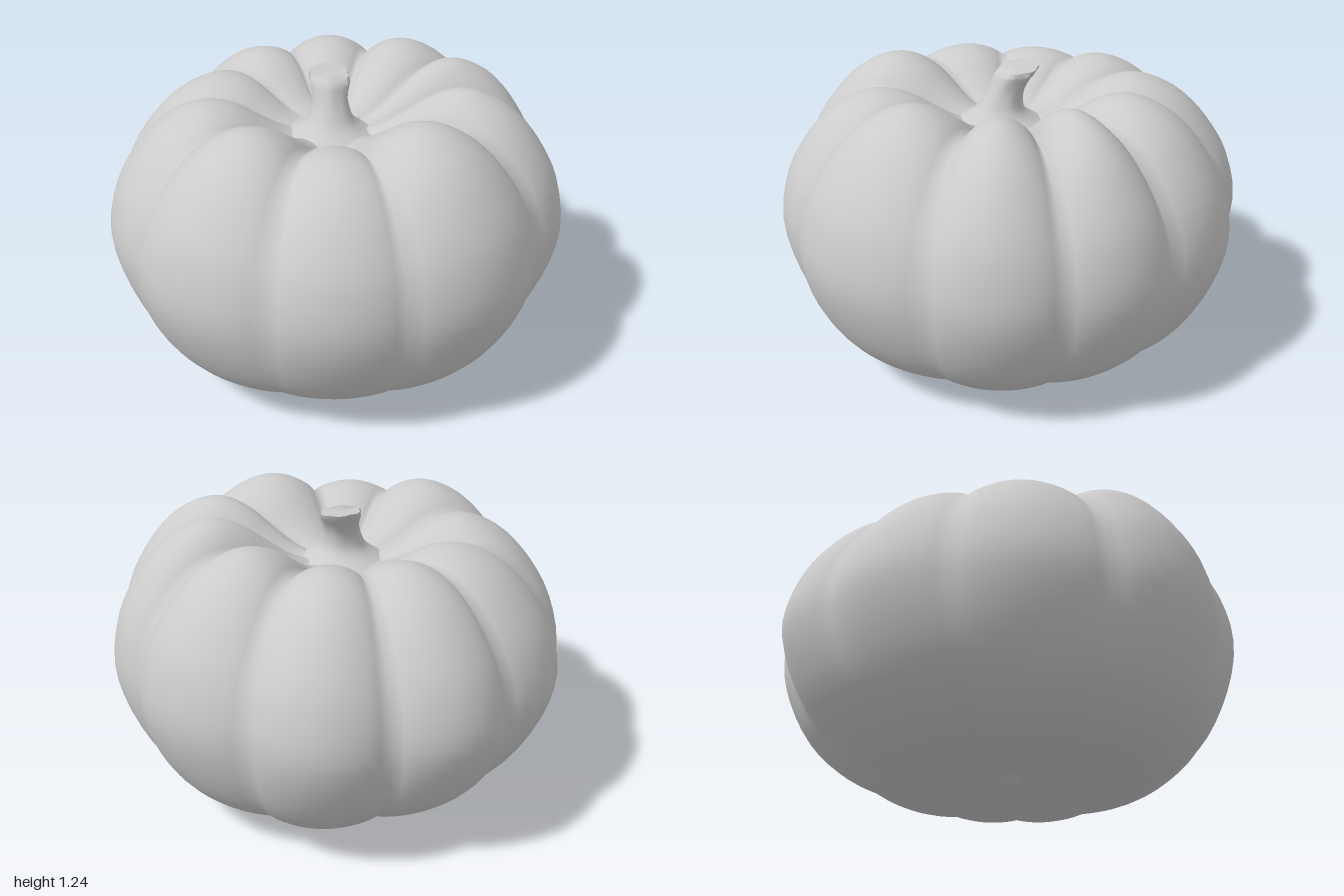
import * as THREE from 'three';
import { mergeVertices, toCreasedNormals } from 'three/addons/utils/BufferGeometryUtils.js';

const material = new THREE.MeshStandardMaterial({ color: 0xcccccc });

// Groove angles in degrees, going round the body, and the reach and crown height of each lobe between them
const grooves = [281, 243, 209.5, 177, 142.6, 105, 62.6, 30, -16.5, -49, -79];
const reach = [1.0, 1.03, 1.02, 0.98, 0.97, 0.995, 0.98, 1.0, 1.005, 0.99];
const crown = [1.21, 1.18, 1.17, 1.15, 1.17, 1.21, 1.16, 1.22, 1.225, 1.23];

// Matching half profiles (radius, height) along a rib's ridge and along a groove, which fades out below
const ridge = [[0, 0.07], [0.08, 0.06], [0.2, 0.025], [0.35, 0.003], [0.5, 0.014], [0.64, 0.06], [0.76, 0.135],
  [0.87, 0.25], [0.96, 0.43], [1, 0.62], [0.963, 0.82], [0.885, 0.97], [0.78, 1.095], [0.665, 1.17], [0.55, 1.2],
  [0.43, 1.17], [0.32, 1.1], [0.22, 1.035], [0.12, 1.0], [0, 0.99]];
const valley = [[0, 0.07], [0.08, 0.06], [0.2, 0.028], [0.35, 0.013], [0.49, 0.027], [0.625, 0.073], [0.745, 0.15],
  [0.85, 0.262], [0.92, 0.43], [0.94, 0.62], [0.9, 0.8], [0.815, 0.94], [0.715, 1.04], [0.61, 1.095],
  [0.5, 1.105], [0.4, 1.08], [0.31, 1.04], [0.22, 1.01], [0.12, 0.995], [0, 0.99]];

const smooth = (points, n) =>
  new THREE.SplineCurve(points.map(([r, y]) => new THREE.Vector2(r, y))).getPoints(n);

function weld(geometry) {
  geometry.deleteAttribute('uv');
  geometry.deleteAttribute('normal');
  const welded = mergeVertices(geometry, 1e-4);
  welded.computeVertexNormals();
  return welded;
}

// Ribbed body: a lathe whose rings blend between ridge and groove profiles
function makeBody() {
  const steps = 57, perLobe = 12, lobes = reach.length;
  const high = smooth(ridge, steps), low = smooth(valley, steps);
  const geometry = new THREE.LatheGeometry(high, lobes * perLobe);
  const pos = geometry.attributes.position;
  for (let i = 0; i <= lobes * perLobe; i++) {
    const lobe = Math.floor(i / perLobe) % lobes;
    const t = (i % perLobe) / perLobe;
    const angle = THREE.MathUtils.degToRad(THREE.MathUtils.lerp(grooves[lobe], grooves[lobe + 1], t));
    const bulge = Math.pow(Math.sin(Math.PI * t), 0.75);
    const side = Math.max(0, -Math.cos(angle));
    for (let j = 0; j <= steps; j++) {
      const point = low[j].clone().lerp(high[j], bulge);
      const upper = Math.max(0, (point.y - 0.64) / 0.56);
      const lower = Math.max(0, 1 - point.y / 0.64);
      // The -x side has a slimmer shoulder, a lower crown and a slightly raised underside
      const slim = 1 - 0.04 * upper * side;
      const r = Math.max(0, point.x) * (1 + (reach[lobe] - 1) * bulge) * slim;
      const lift = (crown[lobe] - 1.2) * bulge * upper * Math.min(1, r / 0.5);
      const tilt = 0.075 * r * side ** 3 * lower;
      pos.setXYZ(i * (steps + 1) + j, r * Math.cos(angle), point.y + lift + tilt, r * Math.sin(angle));
    }
  }
  return weld(geometry);
}

// Stem: a six-sided stalk with a flared foot, leaning and ending in a slanted cut
function makeStem() {
  const profile = smooth([[0.22, 0.985], [0.155, 1.015], [0.105, 1.055], [0.083, 1.11], [0.078, 1.16],
    [0.088, 1.215]], 14);
  profile.push(new THREE.Vector2(0.083, 1.235), new THREE.Vector2(0, 1.235));
  const geometry = new THREE.LatheGeometry(profile, 18);
  const pos = geometry.attributes.position;
  for (let i = 0; i < pos.count; i++) {
    const x = pos.getX(i), y = pos.getY(i), z = pos.getZ(i);
    const k = THREE.MathUtils.clamp((y - 0.99) / 0.245, 0, 1);
    const ridges = 1 + 0.07 * k * Math.cos(6 * Math.atan2(z, x) + 2 * k);
    const lean = k * k;
    pos.setXYZ(i, x * ridges + 0.02 - 0.065 * lean, y - 0.1 * x * lean, z * ridges + 0.03 - 0.065 * lean);
  }
  return toCreasedNormals(weld(geometry), 0.9);
}

// Small nub in the hollow underneath
function makeNub() {
  const geometry = new THREE.ConeGeometry(0.08, 0.05, 7, 1, true);
  geometry.rotateX(Math.PI);
  geometry.translate(0, 0.055, 0);
  return geometry;
}

export function createModel() {
  const group = new THREE.Group();
  group.name = 'pumpkin';
  const parts = { body: makeBody(), stem: makeStem(), blossomEnd: makeNub() };
  for (const [name, geometry] of Object.entries(parts)) {
    const mesh = new THREE.Mesh(geometry, material);
    mesh.name = name;
    group.add(mesh);
  }
  return group;
}
